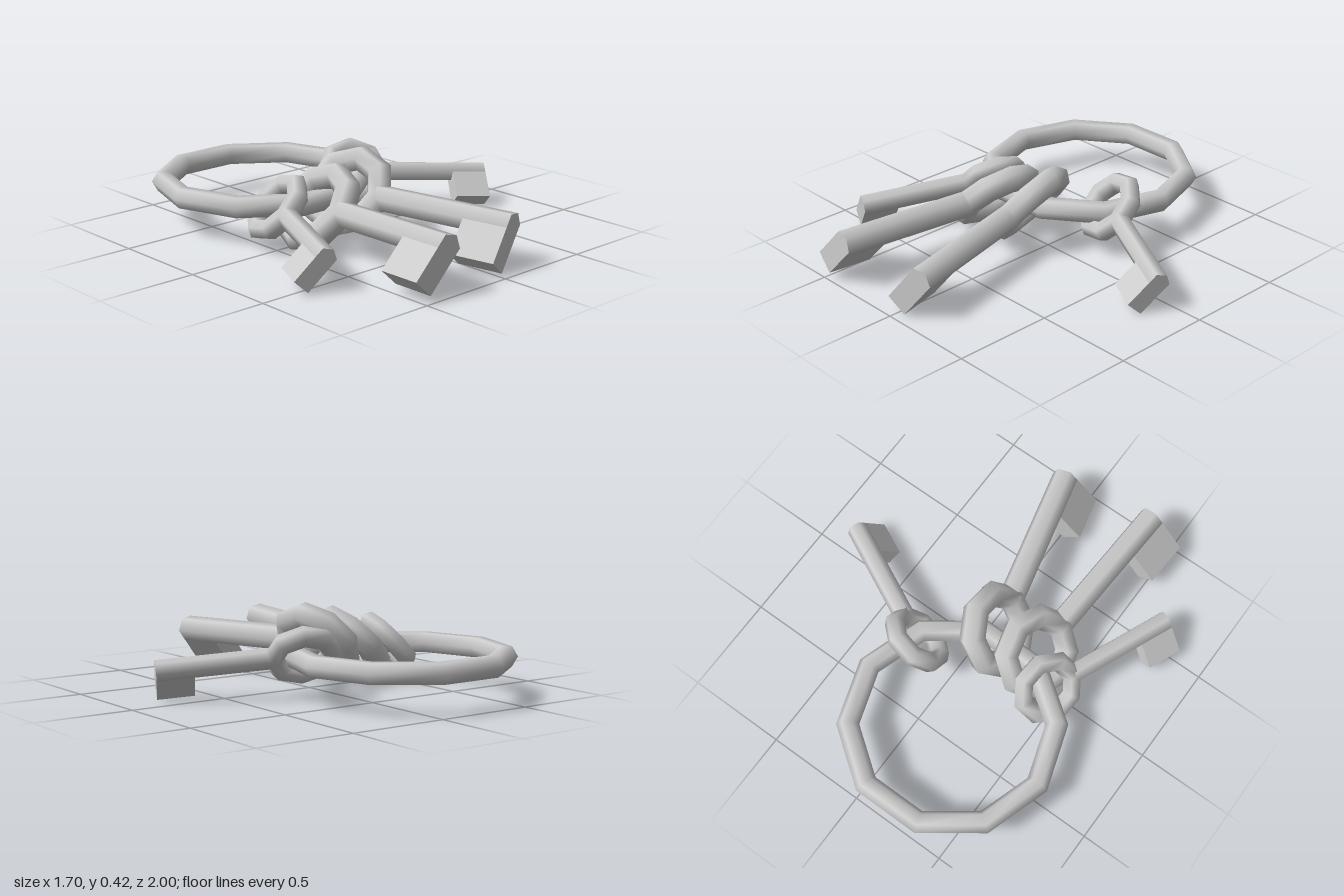
import * as THREE from 'three';

const material = new THREE.MeshStandardMaterial({ color: 0xcccccc });

function part(name, geometry) {
  const mesh = new THREE.Mesh(geometry, material);
  mesh.name = name;
  return mesh;
}

// A key with its bow centred on the origin, shaft along +x and bit along +y
function makeKey(name, size, bow, tip, tiltDegrees) {
  const key = new THREE.Group();
  key.name = name;
  const length = tip.distanceTo(bow) / size;
  const bowRadius = 0.18, shaftRadius = 0.066, bitLength = 0.23, bitReach = 0.215;

  key.add(part('bow', new THREE.TorusGeometry(bowRadius, 0.066, 6, 8)));

  const shaftLength = length - bowRadius;
  const shaft = new THREE.CylinderGeometry(shaftRadius, shaftRadius, shaftLength, 6);
  shaft.rotateZ(-Math.PI / 2).rotateX(Math.PI / 2);
  shaft.translate(bowRadius + shaftLength / 2, 0, 0);
  key.add(part('shaft', shaft));

  const bit = new THREE.BoxGeometry(bitLength, bitReach, shaftRadius * 1.72);
  bit.translate(length - bitLength / 2, bitReach / 2, 0);
  key.add(part('bit', bit));

  // Aim the shaft at the tip and lean the bit down from the horizontal
  const along = tip.clone().sub(bow).normalize();
  const side = along.clone().cross(new THREE.Vector3(0, 1, 0)).normalize();
  const down = along.clone().cross(side);
  const tilt = THREE.MathUtils.degToRad(tiltDegrees);
  const bitDirection = side.multiplyScalar(Math.cos(tilt)).addScaledVector(down, Math.sin(tilt));
  const normal = along.clone().cross(bitDirection);
  key.quaternion.setFromRotationMatrix(new THREE.Matrix4().makeBasis(along, bitDirection, normal));
  key.position.copy(bow);
  key.scale.setScalar(size);
  return key;
}

export function createModel() {
  const model = new THREE.Group();
  model.name = 'keyRing';

  // Ring lying flat
  const ring = part('ring', new THREE.TorusGeometry(0.503, 0.056, 6, 10).rotateX(Math.PI / 2));
  ring.position.set(-0.19, 0.205, -0.47);
  model.add(ring);

  // Two large and two small keys: name, size, bow centre, shaft tip, tilt
  const v = (x, y, z) => new THREE.Vector3(x, y, z);
  const keys = [
    ['smallKeyLeft', 0.78, v(0.205, 0.217, -0.225), v(0.825, 0.16, 0.087), 47],
    ['largeKeyLeft', 1, v(-0.085, 0.228, 0.045), v(0.127, 0.212, 0.927), 51],
    ['largeKeyRight', 1, v(-0.305, 0.202, 0.07), v(-0.36, 0.235, 0.99), 46],
    ['smallKeyRight', 0.78, v(-0.455, 0.205, -0.047), v(-0.718, 0.17, 0.595), 47],
  ];
  for (const k of keys) model.add(makeKey(...k));
  return model;
}
